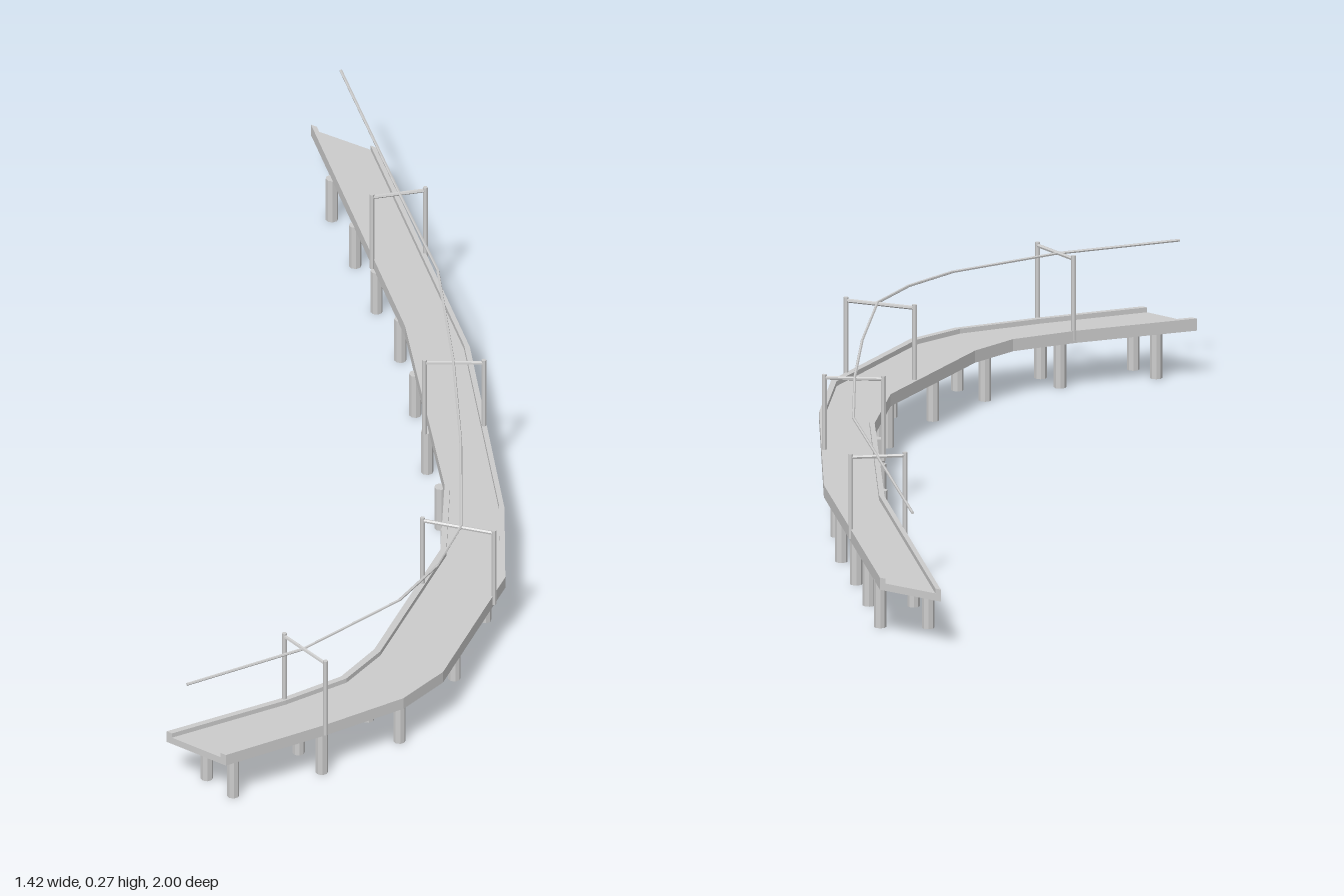
import * as THREE from 'three';

const material = new THREE.MeshStandardMaterial({ color: 0xcccccc, flatShading: true });

// Deck outline from back to front: right edge x, z, left edge x, z
const stations = [
  [-0.71, -0.99, -0.555, -1.0], [-0.115, -0.505, 0.035, -0.52], [0.3, -0.08, 0.445, -0.085],
  [0.435, 0.115, 0.6, 0.12], [0.55, 0.49, 0.71, 0.475], [0.557, 0.61, 0.705, 0.6],
  [0.51, 0.745, 0.64, 0.77], [0.4, 0.98, 0.547, 0.98],
];

// Sweeps a rectangle along the deck; s0 and s1 are fractions across its width
function sweep(name, s0, s1, y0, y1) {
  const rings = stations.map(([ax, az, bx, bz]) => {
    const at = (s, y) => [ax + (bx - ax) * s, y, az + (bz - az) * s];
    return [at(s0, y0), at(s1, y0), at(s1, y1), at(s0, y1)];
  });
  const pos = [];
  const quad = (a, b, c, d) => pos.push(...a, ...b, ...c, ...a, ...c, ...d);
  for (let i = 0; i < rings.length - 1; i++) {
    const p = rings[i], q = rings[i + 1];
    for (let k = 0; k < 4; k++) {
      const n = (k + 1) % 4;
      quad(p[k], p[n], q[n], q[k]);
    }
  }
  quad(...rings[0].slice().reverse());
  quad(...rings[rings.length - 1]);
  const geo = new THREE.BufferGeometry();
  geo.setAttribute('position', new THREE.Float32BufferAttribute(pos, 3));
  geo.computeVertexNormals();
  const mesh = new THREE.Mesh(geo, material);
  mesh.name = name;
  return mesh;
}

// Straight round bar between two points
function rod(name, a, b, radius, sides = 6) {
  const from = new THREE.Vector3(...a), to = new THREE.Vector3(...b);
  const dir = to.clone().sub(from);
  const mesh = new THREE.Mesh(new THREE.CylinderGeometry(radius, radius, dir.length(), sides), material);
  mesh.position.copy(from).add(to).multiplyScalar(0.5);
  mesh.quaternion.setFromUnitVectors(new THREE.Vector3(0, 1, 0), dir.normalize());
  mesh.name = name;
  return mesh;
}

export function createModel() {
  const model = new THREE.Group();
  model.name = 'viaduct';

  // Deck slab with a low parapet along each edge
  model.add(
    sweep('deck', 0, 1, 0.095, 0.11),
    sweep('rightParapet', 0, 0.09, 0.11, 0.12),
    sweep('leftParapet', 0.91, 1, 0.11, 0.12),
  );

  // Pairs of columns under the deck: right x, z, left x, z
  const piers = [
    [-0.58, -0.885, -0.505, -0.945], [-0.44, -0.775, -0.37, -0.83], [-0.305, -0.665, -0.235, -0.72],
    [-0.16, -0.55, -0.09, -0.605], [-0.015, -0.405, 0.055, -0.46], [0.13, -0.25, 0.2, -0.3],
    [0.275, -0.1, 0.348, -0.147], [0.38, 0.02, 0.448, -0.035], [0.47, 0.145, 0.55, 0.12],
    [0.55, 0.365, 0.63, 0.33], [0.583, 0.555, 0.68, 0.58], [0.545, 0.735, 0.625, 0.765],
    [0.455, 0.92, 0.535, 0.94],
  ];
  for (const [ax, az, bx, bz] of piers) {
    const pier = new THREE.Group();
    pier.name = 'pier';
    pier.add(
      rod('rightColumn', [ax, 0, az], [ax, 0.097, az], 0.0125, 8),
      rod('leftColumn', [bx, 0, bz], [bx, 0.097, bz], 0.0125, 8),
    );
    model.add(pier);
  }

  // Gantries: two posts and a crossbeam
  const gantries = [
    [-0.315, -0.663, -0.245, -0.747], [0.135, -0.235, 0.23, -0.305],
    [0.48, 0.235, 0.622, 0.188], [0.515, 0.742, 0.642, 0.775],
  ];
  for (const [ax, az, bx, bz] of gantries) {
    const gantry = new THREE.Group();
    gantry.name = 'gantry';
    gantry.add(
      rod('rightPost', [ax, 0.1, az], [ax, 0.274, az], 0.005),
      rod('leftPost', [bx, 0.1, bz], [bx, 0.274, bz], 0.005),
      rod('crossbeam', [ax, 0.267, az], [bx, 0.267, bz], 0.004),
    );
    model.add(gantry);
  }

  // Overhead wire following the curve
  const wire = new THREE.Group();
  wire.name = 'overheadWire';
  const path = [
    [-0.643, 0.268, -1], [-0.28, 0.268, -0.707], [-0.045, 0.271, -0.52], [0.18, 0.271, -0.27],
    [0.37, 0.271, -0.04], [0.557, 0.27, 0.21], [0.605, 0.269, 0.355], [0.62, 0.268, 0.5],
    [0.572, 0.266, 0.758], [0.465, 0.266, 1],
  ];
  for (let i = 0; i < path.length - 1; i++) wire.add(rod('wireSpan', path[i], path[i + 1], 0.003));
  model.add(wire);

  return model;
}
